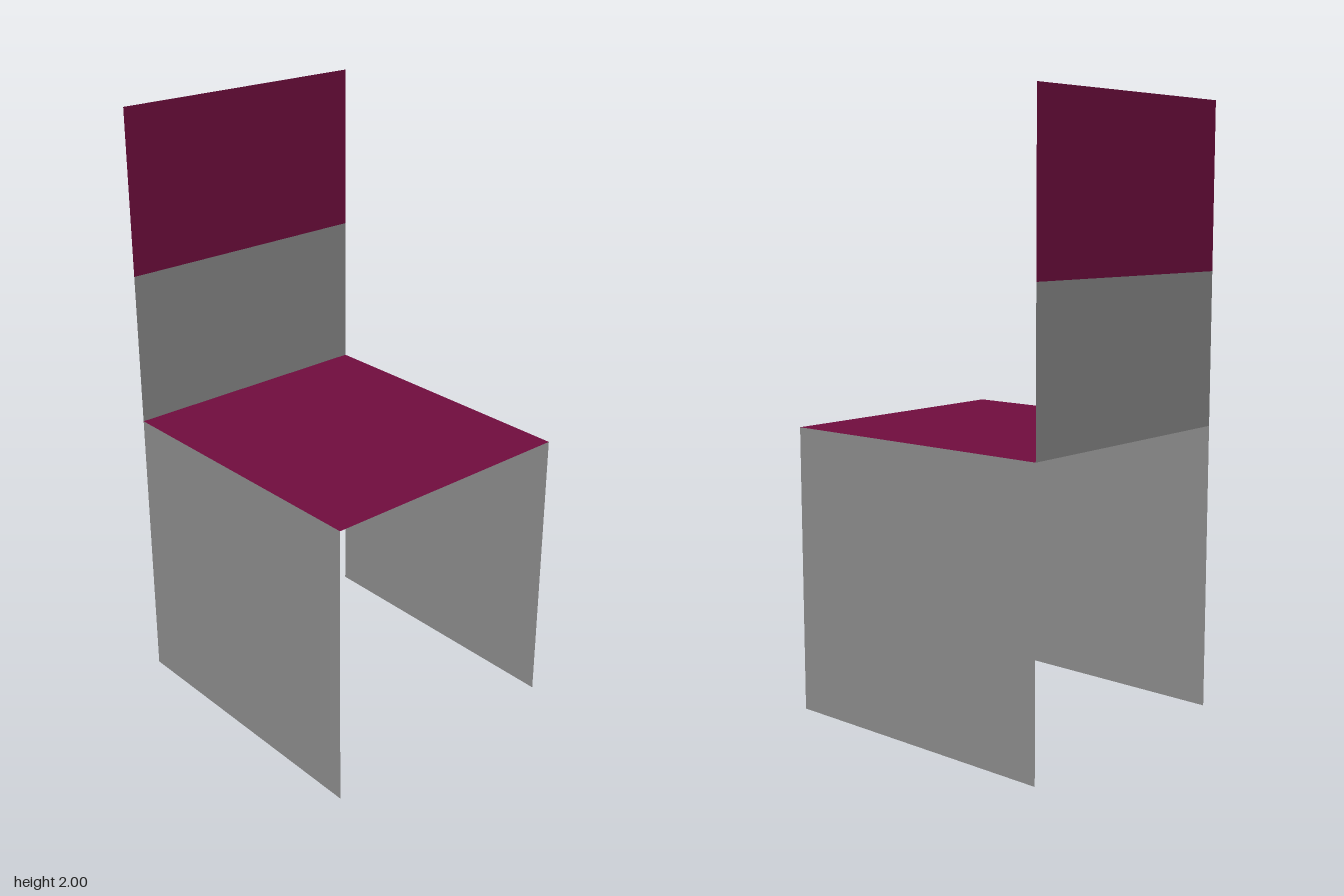
import * as THREE from 'three';

const WIDTH = 0.894, DEPTH = 0.994, SEAT_Y = 0.955, BAND_Y = 1.46, TOP_Y = 2;

export function createModel() {
  const chair = new THREE.Group();
  chair.name = 'chair';

  const maroon = new THREE.MeshStandardMaterial({ color: 0x700d3e, side: THREE.DoubleSide });
  maroon.name = 'maroon';
  const grey = new THREE.MeshStandardMaterial({ color: 0x888888, side: THREE.DoubleSide });
  grey.name = 'grey';

  // Adds one flat sheet to the chair
  function addPanel(name, width, height, material, position, rotation = [0, 0, 0]) {
    const panel = new THREE.Mesh(new THREE.PlaneGeometry(width, height), material);
    panel.name = name;
    panel.position.set(...position);
    panel.rotation.set(...rotation);
    chair.add(panel);
  }

  // Seat, facing up
  addPanel('seat', WIDTH, DEPTH, maroon, [0, SEAT_Y, 0], [-Math.PI / 2, 0, 0]);

  // Backrest: grey lower half, maroon upper half
  addPanel('lowerBackrest', WIDTH, BAND_Y - SEAT_Y, grey, [0, (SEAT_Y + BAND_Y) / 2, -DEPTH / 2]);
  addPanel('upperBackrest', WIDTH, TOP_Y - BAND_Y, maroon, [0, (BAND_Y + TOP_Y) / 2, -DEPTH / 2]);

  // Side panels serving as legs, facing outwards
  for (const [name, side] of [['leftLegPanel', 1], ['rightLegPanel', -1]]) {
    addPanel(name, DEPTH, SEAT_Y, grey, [side * WIDTH / 2, SEAT_Y / 2, 0], [0, side * Math.PI / 2, 0]);
  }

  return chair;
}
